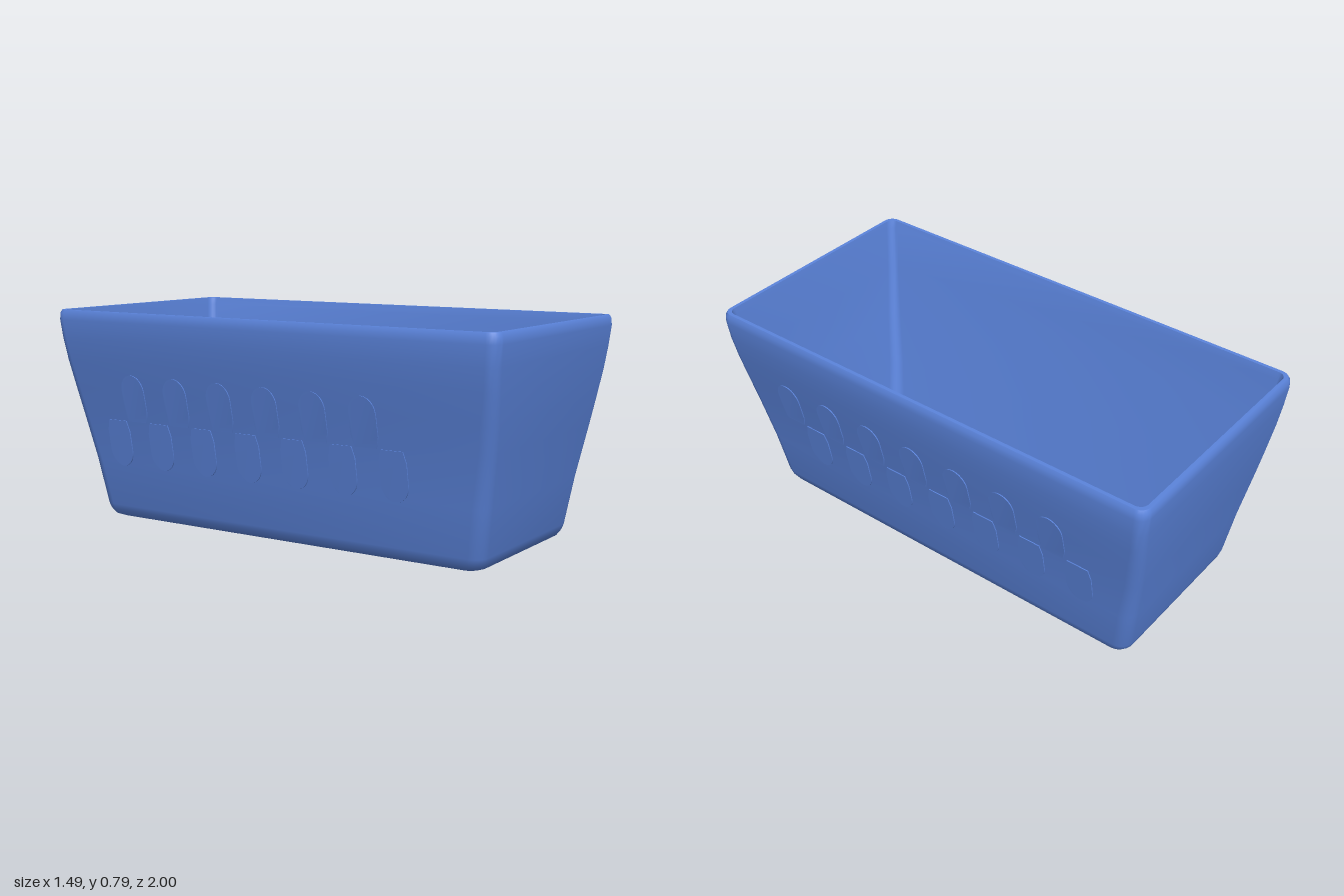
import * as THREE from 'three';
import { toCreasedNormals } from 'three/addons/utils/BufferGeometryUtils.js';

const material = new THREE.MeshStandardMaterial({ color: 0x5b84dc });

// Tub section from the underside, up the outside, over the rim and down inside:
// [half width, half length, height, corner radius]
const OUTER = [
  [0.295, 0.76, 0.0, 0.04], [0.32, 0.785, 0.01, 0.05], [0.332, 0.798, 0.03, 0.05],
  [0.338, 0.804, 0.05, 0.05], [0.364, 0.83, 0.22, 0.05], [0.396, 0.862, 0.4, 0.045],
  [0.418, 0.878, 0.5, 0.045], [0.438, 0.892, 0.6, 0.04], [0.453, 0.901, 0.68, 0.04],
  [0.46, 0.908, 0.75, 0.04],
];
const RIM = [
  [0.459, 0.907, 0.775, 0.04], [0.453, 0.9, 0.787, 0.036], [0.44, 0.887, 0.787, 0.03],
];
const INNER = [
  [0.434, 0.882, 0.76, 0.03], [0.41, 0.865, 0.6, 0.03], [0.37, 0.835, 0.4, 0.035],
  [0.335, 0.805, 0.2, 0.04], [0.3, 0.783, 0.035, 0.045],
];

// One level of the tub: a rounded rectangle
function ring([w, l, y, r]) {
  const points = [], steps = 6;
  const corners = [[1, 1], [-1, 1], [-1, -1], [1, -1]];
  corners.forEach(([sx, sz], c) => {
    for (let i = 0; i <= steps; i++) {
      const a = (c + i / steps) * Math.PI / 2;
      points.push([sx * (w - r) + r * Math.cos(a), y, sz * (l - r) + r * Math.sin(a)]);
    }
  });
  return points;
}

// Skin a stack of levels, closed at both ends on the centre line
function loft(levels) {
  const rings = levels.map(ring);
  const n = rings[0].length, positions = [], index = [];
  rings.forEach((points) => points.forEach((p) => positions.push(...p)));
  for (let k = 0; k < rings.length - 1; k++) {
    for (let i = 0; i < n; i++) {
      const a = k * n + i, b = k * n + (i + 1) % n;
      index.push(a, a + n, b, b, a + n, b + n);
    }
  }
  // Underside and inside floor
  const last = (rings.length - 1) * n, centre = rings.length * n;
  positions.push(0, levels[0][2], 0, 0, levels[levels.length - 1][2], 0);
  for (let i = 0; i < n; i++) {
    const j = (i + 1) % n;
    index.push(centre, i, j, centre + 1, last + j, last + i);
  }
  const geometry = new THREE.BufferGeometry();
  geometry.setAttribute('position', new THREE.Float32BufferAttribute(positions, 3));
  geometry.setIndex(index);
  return toCreasedNormals(geometry, 0.65);
}

// Half width of the outside wall at height y
function wallAt(y) {
  const k = Math.max(1, OUTER.findIndex((level) => level[2] >= y));
  const [a, b] = [OUTER[k - 1], OUTER[k]];
  return a[0] + (b[0] - a[0]) * (y - a[2]) / (b[2] - a[2]);
}

// Shallow round-ended grip pad, lying on the side wall
function gripPad(side, up, z) {
  const half = 0.052, height = 0.175, cap = 0.06;
  const shape = new THREE.Shape();
  shape.moveTo(-half * 0.8, 0);
  shape.lineTo(half * 0.8, 0);
  shape.lineTo(half, 0.04);
  shape.lineTo(half, height - cap);
  shape.absellipse(0, height - cap, half, cap, 0, Math.PI, false);
  shape.lineTo(-half, 0.04);
  shape.closePath();
  const geometry = new THREE.ExtrudeGeometry(shape, { depth: 0.012, bevelEnabled: false, curveSegments: 6 });
  geometry.translate(0, 0, -0.008);
  if (!up) geometry.rotateZ(Math.PI);
  geometry.rotateY(side * Math.PI / 2);
  geometry.translate(0, 0.385, z);
  // Follow the slope of the wall
  const p = geometry.attributes.position;
  for (let i = 0; i < p.count; i++) p.setX(i, p.getX(i) + side * wallAt(p.getY(i)));
  return toCreasedNormals(geometry, 0.6);
}

export function createModel() {
  const model = new THREE.Group();
  model.name = 'storageBin';

  const tub = new THREE.Mesh(loft([...OUTER, ...RIM, ...INNER]), material);
  tub.name = 'tub';
  model.add(tub);

  // Alternating lower and upper pads from back to front along each long wall
  const pitch = 0.098;
  for (const [side, name, start, count] of [[1, 'leftGrip', -0.635, 14], [-1, 'rightGrip', -0.67, 13]]) {
    const grip = new THREE.Group();
    grip.name = name;
    for (let i = 0; i < count; i++) {
      const pad = new THREE.Mesh(gripPad(side, i % 2 === 1, start + i * pitch), material);
      pad.name = 'gripPad';
      grip.add(pad);
    }
    model.add(grip);
  }

  // The bin stands turned on its base
  model.rotation.y = THREE.MathUtils.degToRad(21.3);
  return model;
}
